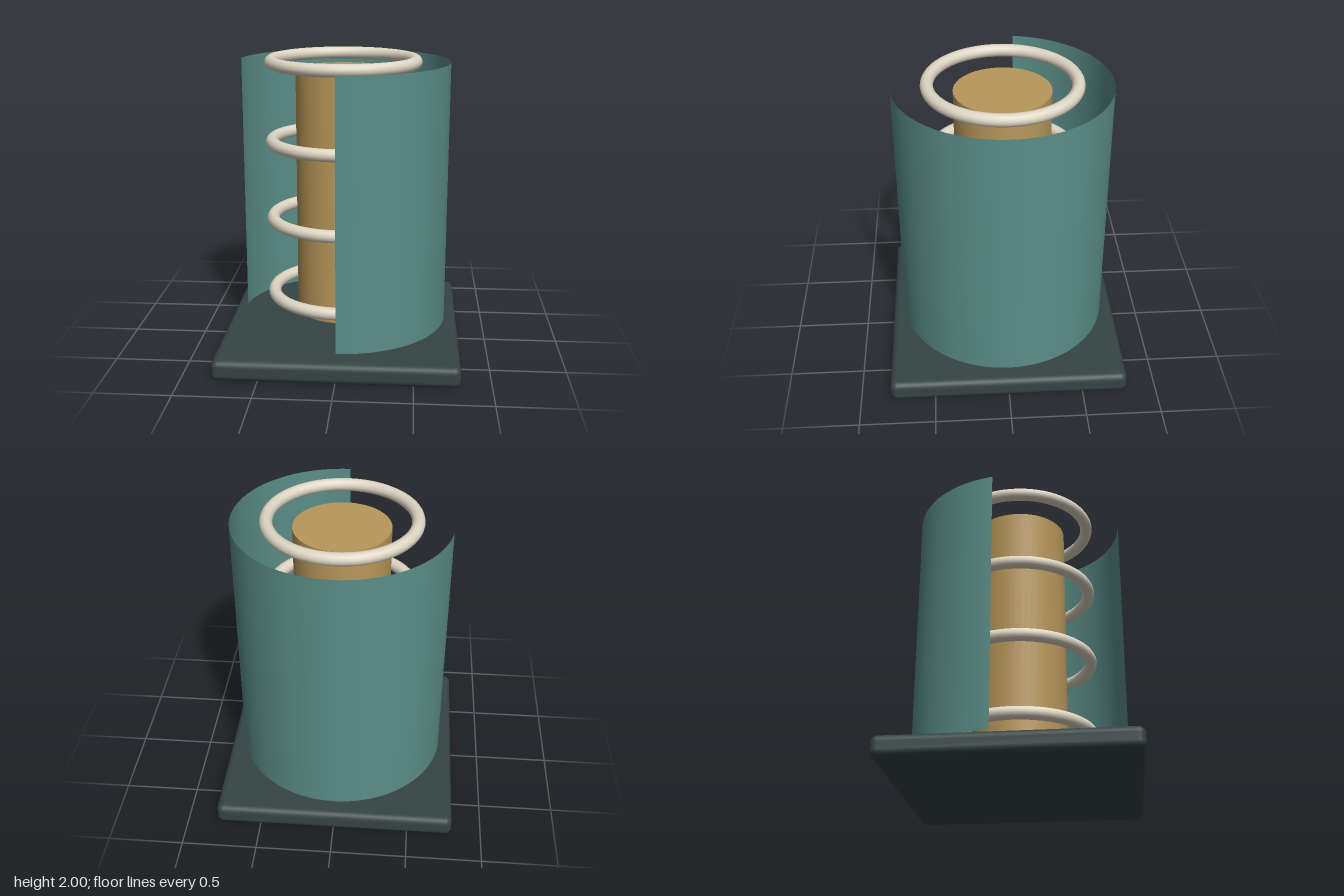
import * as THREE from 'three';
import { RoundedBoxGeometry } from 'three/addons/geometries/RoundedBoxGeometry.js';

function material(name, color, options = {}) {
  const m = new THREE.MeshStandardMaterial({ color, ...options });
  m.name = name;
  return m;
}

export function createModel() {
  const group = new THREE.Group();
  const slate = material('dark slate', 0x364444);
  const teal = material('teal', 0x5a8d87, { side: THREE.DoubleSide });
  const brass = material('brass', 0xb8975a);
  const ivory = material('ivory', 0xded6c4);

  const add = (name, geometry, mat, y) => {
    const mesh = new THREE.Mesh(geometry, mat);
    mesh.name = name;
    mesh.position.y = y;
    group.add(mesh);
    return mesh;
  };

  // Square plinth with softened edges
  add('base', new RoundedBoxGeometry(1.6, 0.14, 1.6, 4, 0.045), slate, 0.07);

  // Thin outer shell, cut away from the front round to its right side
  add('shell', new THREE.CylinderGeometry(0.71, 0.71, 1.78, 64, 1, true, 0, Math.PI * 1.45), teal, 1.07);

  // Solid inner core
  add('core', new THREE.CylinderGeometry(0.317, 0.317, 1.685, 48), brass, 1.0675);

  // Four evenly spaced rings around the core
  const ringGeometry = new THREE.TorusGeometry(0.48, 0.042, 16, 72).rotateX(Math.PI / 2);
  for (let i = 0; i < 4; i++) {
    add(`ring${i + 1}`, ringGeometry, ivory, 0.36 + i * 0.5327);
  }
  return group;
}
